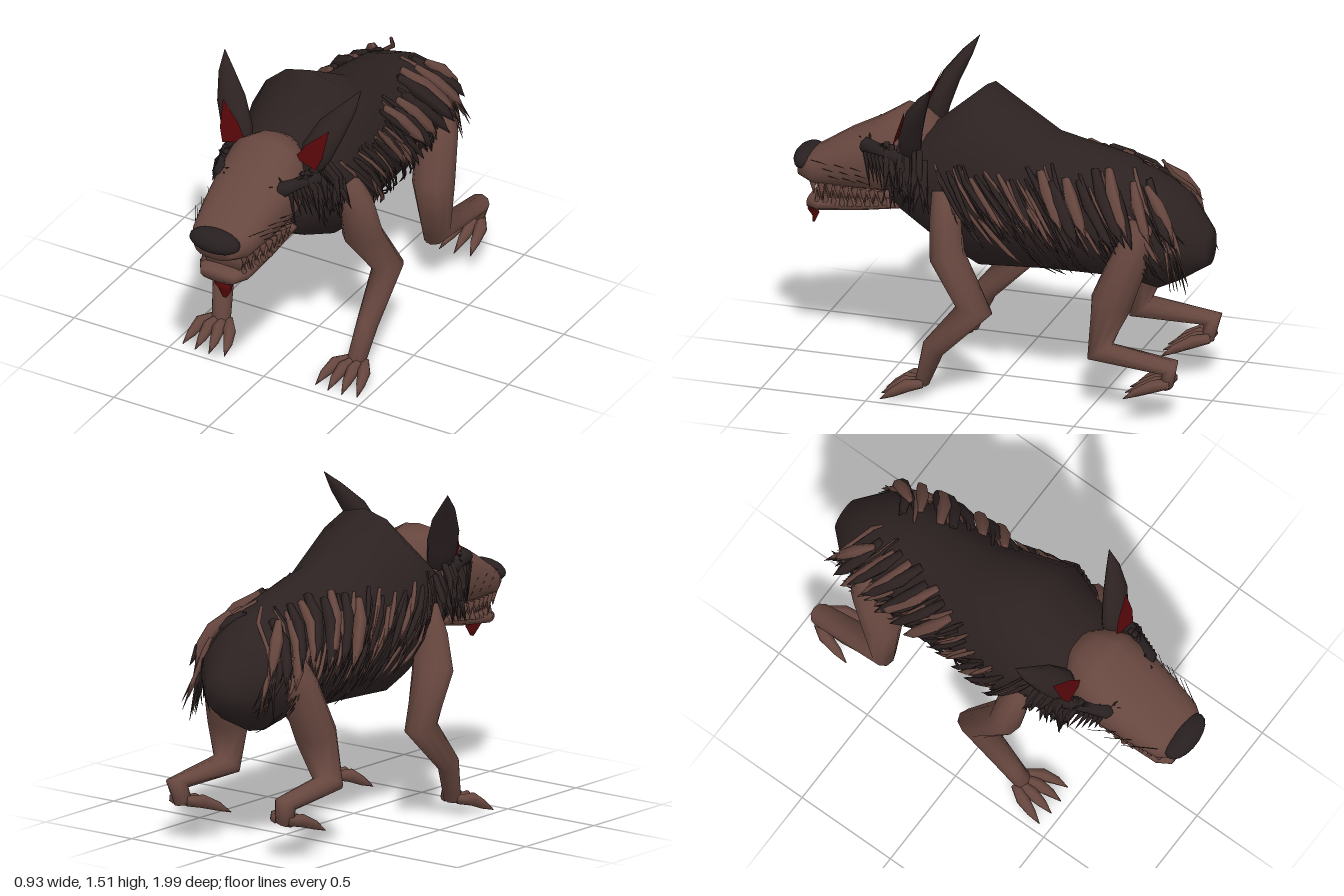
import * as THREE from 'three';
import { mergeGeometries } from 'three/addons/utils/BufferGeometryUtils.js';

const mat = (name, color) => {
  const m = new THREE.MeshStandardMaterial({ color });
  m.name = name;
  return m;
};
const V = (x, y, z) => new THREE.Vector3(x, y, z);

// Closed skin over a list of rings with equal point counts
function skin(rings) {
  const n = rings[0].length, pos = [], idx = [], last = rings.length - 1;
  const mid = r => r.reduce((a, p) => a.add(p), V(0, 0, 0)).divideScalar(n);
  [...rings.flat(), mid(rings[0]), mid(rings[last])].forEach(p => pos.push(p.x, p.y, p.z));
  const c0 = rings.length * n, c1 = c0 + 1;
  for (let j = 0; j < n; j++) {
    const k = (j + 1) % n;
    for (let i = 0; i < last; i++) {
      const a = i * n + j, b = i * n + k;
      idx.push(a, b, b + n, a, b + n, a + n);
    }
    idx.push(c0, k, j, c1, last * n + j, last * n + k);
  }
  const g = new THREE.BufferGeometry();
  g.setAttribute('position', new THREE.Float32BufferAttribute(pos, 3));
  g.setIndex(idx);
  g.computeVertexNormals();
  return g;
}

// Tapered limb through [x, y, z, radius, sideways radius]; s mirrors x
function limb(pts, sides = 8, s = 1) {
  const c = pts.map(p => V(p[0] * s, p[1], p[2]));
  return skin(c.map((p, i) => {
    const t = V(0, 0, 0);
    if (i > 0) t.add(p.clone().sub(c[i - 1]).normalize());
    if (i < c.length - 1) t.add(c[i + 1].clone().sub(p).normalize());
    t.normalize();
    const u = t.clone().cross(V(1, 0, 0)).normalize(), v = t.clone().cross(u);
    const r = pts[i][3], w = pts[i][4] ?? r;
    return Array.from({ length: sides }, (_, j) => {
      const a = j / sides * Math.PI * 2;
      return p.clone().addScaledVector(u, Math.cos(a) * r).addScaledVector(v, Math.sin(a) * w);
    });
  }));
}

// Trunk-like form from front-to-back sections [z, bottom, top, half width]
function trunk(sections, sides = 14, power = 0.85) {
  const f = q => Math.sign(q) * Math.abs(q) ** power;
  return skin(sections.map(([z, lo, hi, w]) => Array.from({ length: sides }, (_, j) => {
    const a = j / sides * Math.PI * 2;
    return V(-w * f(Math.sin(a)), (lo + hi) / 2 - (hi - lo) / 2 * f(Math.cos(a)), z);
  })));
}

const BODY = [
  [0.47, 0.78, 1.08, 0.19], [0.31, 0.67, 1.22, 0.27], [0.08, 0.55, 1.42, 0.33],
  [-0.24, 0.57, 1.22, 0.27], [-0.6, 0.575, 1.14, 0.25], [-0.77, 0.54, 1.06, 0.235],
  [-0.87, 0.59, 1.0, 0.2], [-0.995, 0.67, 0.85, 0.08]];

// Half width of the body at a given height and depth
function flank(y, z) {
  let i = 0;
  while (i < BODY.length - 2 && z < BODY[i + 1][0]) i++;
  const a = BODY[i], b = BODY[i + 1];
  const t = THREE.MathUtils.clamp((z - a[0]) / (b[0] - a[0]), 0, 1);
  const [, lo, hi, w] = a.map((q, k) => q + (b[k] - q) * t);
  const h = (y - (lo + hi) / 2) / ((hi - lo) / 2);
  return w * Math.sqrt(Math.max(0.05, 1 - h * h));
}

export function createModel() {
  const root = new THREE.Group();
  root.name = 'beast';
  const skinMat = mat('brown skin', 0x67473f), furMat = mat('dark fur', 0x2d2222);
  const noseMat = mat('nose', 0x282020), redMat = mat('red flesh', 0x540709);
  redMat.side = THREE.DoubleSide;
  const add = (name, g, m) => {
    const mesh = new THREE.Mesh(g, m);
    mesh.name = name;
    root.add(mesh);
    return mesh;
  };
  let seed = 7;
  const rnd = (a, b) => {
    seed = (seed * 16807) % 2147483647;
    return a + (b - a) * seed / 2147483647;
  };

  add('body', trunk(BODY, 16, 1), furMat);
  add('head', trunk([
    [0.96, 0.88, 0.98, 0.1], [0.88, 0.855, 1.025, 0.155], [0.75, 0.855, 1.11, 0.18],
    [0.6, 0.86, 1.19, 0.2], [0.48, 0.86, 1.27, 0.2], [0.38, 0.88, 1.25, 0.16],
    [0.3, 0.95, 1.2, 0.09]], 18), skinMat);
  add('lowerJaw', trunk([
    [0.92, 0.735, 0.79, 0.09], [0.86, 0.735, 0.805, 0.13], [0.65, 0.765, 0.835, 0.145],
    [0.42, 0.81, 0.87, 0.155]], 14, 0.7), skinMat);
  add('mouthLining', trunk([
    [0.87, 0.77, 0.9, 0.095], [0.65, 0.8, 0.9, 0.115], [0.42, 0.84, 0.9, 0.13]], 12, 0.6), skinMat);
  const nose = add('nose', new THREE.SphereGeometry(1, 18, 12), noseMat);
  nose.scale.set(0.13, 0.057, 0.065);
  nose.position.set(-0.005, 0.963, 0.935);
  add('tongue', limb([[0.025, 0.765, 0.86, 0.01, 0.05],
    [0.025, 0.725, 0.915, 0.014, 0.048], [0.025, 0.69, 0.895, 0.012, 0.035],
    [0.03, 0.655, 0.905, 0.006, 0.01]]), redMat);

  for (const s of [1, -1]) {
    const side = s > 0 ? 'left' : 'right';
    const L = (pts, n = 8) => limb(pts, n, s);
    const fur = [], tan = [];

    // Legs
    add(side + 'FrontLeg', L([[0.26, 0.98, 0.2, 0.06], [0.305, 0.85, 0.18, 0.075, 0.085],
      [0.328, 0.69, 0.165, 0.078, 0.105], [0.375, 0.46, 0.02, 0.088, 0.07],
      [0.38, 0.25, 0.215, 0.054, 0.05], [0.355, 0.07, 0.275, 0.034, 0.045]], 10), skinMat);
    add(side + 'HindLeg', L([[0.2, 0.92, -0.73, 0.06], [0.225, 0.76, -0.685, 0.088, 0.1],
      [0.255, 0.53, -0.6, 0.098, 0.1], [0.295, 0.3, -0.56, 0.07, 0.072],
      [0.315, 0.27, -0.9, 0.05, 0.055], [0.295, 0.175, -0.88, 0.03, 0.05]], 10), skinMat);

    // Clawed toes
    const toes = [];
    for (const k of [-1.5, -0.5, 0.5, 1.5]) {
      const z = Math.abs(k) < 1 ? 0.015 : 0;
      toes.push(L([[0.36 + k * 0.024, 0.075, 0.26, 0.02], [0.355 + k * 0.05, 0.07, 0.33 + z, 0.031],
        [0.35 + k * 0.064, 0.035, 0.39 + z, 0.021], [0.35 + k * 0.073, 0.002, 0.445 + z, 0.002]], 6));
      toes.push(L([[0.295 + k * 0.026, 0.195, -0.9, 0.024], [0.29 + k * 0.05, 0.19, -0.84, 0.031],
        [0.282 + k * 0.065, 0.155, -0.76, 0.021], [0.275 + k * 0.077, 0.12, -0.7 + z, 0.002]], 6));
    }
    add(side + 'Toes', mergeGeometries(toes), skinMat);

    // Ear with red inner plate
    add(side + 'Ear', L([[0.18, 1.12, 0.39, 0.05, 0.055], [0.21, 1.21, 0.38, 0.052, 0.078],
      [0.265, 1.33, 0.34, 0.045, 0.07], [0.325, 1.43, 0.282, 0.026, 0.037],
      [0.36, 1.505, 0.235, 0.001]], 10), furMat);
    const plate = new THREE.ShapeGeometry(new THREE.Shape(
      [[0.28, 1.345], [0.18, 1.26], [0.13, 1.19], [0.245, 1.16], [0.27, 1.22]].map(p => new THREE.Vector2(p[0] * s, p[1]))));
    const pp = plate.attributes.position;
    for (let i = 0; i < pp.count; i++) pp.setZ(i, 0.452 - 0.36 * (pp.getY(i) - 1.17));
    plate.computeVertexNormals();
    add(side + 'InnerEar', plate, redMat);

    // Eye and heavy dark lid sweeping back to the cheek
    add(side + 'Eye', L([[0.14, 1.11, 0.635, 0.012], [0.155, 1.115, 0.61, 0.036, 0.045],
      [0.19, 1.11, 0.53, 0.03, 0.035], [0.24, 1.1, 0.42, 0.035, 0.03]]), noseMat);
    for (let i = 0; i < 6; i++)
      fur.push(L([[0.15 + i * 0.008, 1.125, 0.61 - i * 0.02, 0.014],
        [0.11 + i * 0.028, 1.15 + rnd(-0.02, 0.02), 0.63 - i * 0.03, 0.002]], 5));
    // Strands below the eye and brow wrinkles
    for (let i = 0; i < 5; i++) {
      fur.push(L([[0.2 + i * 0.008, 1.1, 0.6 - i * 0.02, 0.013],
        [0.21 + i * 0.016, rnd(0.9, 0.98), 0.575 - i * 0.025, 0.001]], 5));
      fur.push(L([[0.08 + i * 0.01, 1.07 + i * 0.017, 0.735 - i * 0.02, 0.003],
        [0.16, 1.07 + i * 0.014, 0.675 - i * 0.02, 0.006]], 4));
    }

    // Cheek hair
    for (let i = 0; i < 28; i++) {
      const z = rnd(0.28, 0.5), x = 0.3 - (z - 0.28) * 0.2, y = rnd(1.05, 1.16);
      fur.push(L([[x - 0.06, y, z, 0.016], [x, y - 0.08, z - 0.02, 0.016],
        [x + rnd(0, 0.04), rnd(0.86, 0.97), z - rnd(0, 0.06), 0.001]], 5));
    }

    // Shaggy flank: fine strands, then thick locks towards the rump
    const lock = (z, y, len, r, out, list) => {
      const lean = rnd(0.5, 0.8);
      const p = t => [flank(y - len * t, z - len * lean * t) + out * t, y - len * t, z - len * lean * t];
      list.push(L([[...p(0), r * 0.6], [...p(0.3), r], [...p(0.7), r * 0.8], [...p(1), 0.001]], 5));
    };
    for (let i = 0; i < 85; i++)
      lock(rnd(-0.75, 0.27), rnd(0.88, 1.14), rnd(0.14, 0.26), rnd(0.006, 0.014), rnd(0, 0.06), i % 5 < 2 ? tan : fur);
    for (let i = 0; i < 15; i++) {
      const z = 0.12 - i * 0.06;
      lock(z, rnd(1.07, 1.14) - Math.max(0, -z - 0.5) * 0.2, rnd(0.22, 0.3), i > 5 ? rnd(0.028, 0.038) : 0.016, i > 5 ? 0.075 : 0.05, i % 5 % 2 ? tan : fur);
    }
    tan.push(L([[0.14, 1.07, -0.73, 0.015], [0.185, 1.0, -0.8, 0.032], [0.21, 0.93, -0.85, 0.026], [0.22, 0.83, -0.89, 0.001]], 6));
    // Thin fringe hanging low along the belly and behind the rump
    for (let i = 0; i < 26; i++)
      lock(rnd(-0.75, -0.1), rnd(0.8, 0.9), rnd(0.14, 0.25), 0.006, 0.05, fur);
    for (let i = 0; i < 10; i++)
      (i % 3 ? fur : tan).push(L([[0.18, rnd(0.86, 1.0), -0.76 - i * 0.008, 0.014],
        [0.2, 0.82, -0.84 - i * 0.006, 0.012], [rnd(0.16, 0.25), rnd(0.59, 0.72), -0.88 - i * 0.009, 0.001]], 5));

    // Whiskers swept back along the muzzle
    for (let i = 0; i < 9; i++) {
      const z = 0.88 - i * 0.028, y = 1 - i % 3 * 0.03;
      fur.push(L([[0.14 + i * 0.004, y, z, 0.002], [0.2 + i * 0.005, y + 0.01, z - 0.1, 0.001]], 4));
    }

    // Teeth along both jaws
    const teeth = [];
    for (let i = 0; i < 9; i++) {
      const z = 0.88 - i * 0.042, x = 0.105 + Math.min(i, 4) * 0.009, big = i === 1 ? 0.025 : 0;
      teeth.push(L([[x + 0.01, 0.89, z, 0.018], [x + 0.01, 0.825 - big, z - 0.005, 0.001]], 6));
      teeth.push(L([[x, 0.775 + i * 0.006, z - 0.02, 0.017], [x, 0.85 + big + i * 0.003, z - 0.015, 0.001]], 6));
    }
    add(side + 'Teeth', mergeGeometries(teeth), skinMat);
    add(side + 'DarkFur', mergeGeometries(fur), furMat);
    add(side + 'BrownFur', mergeGeometries(tan), skinMat);
  }
  return root;
}
